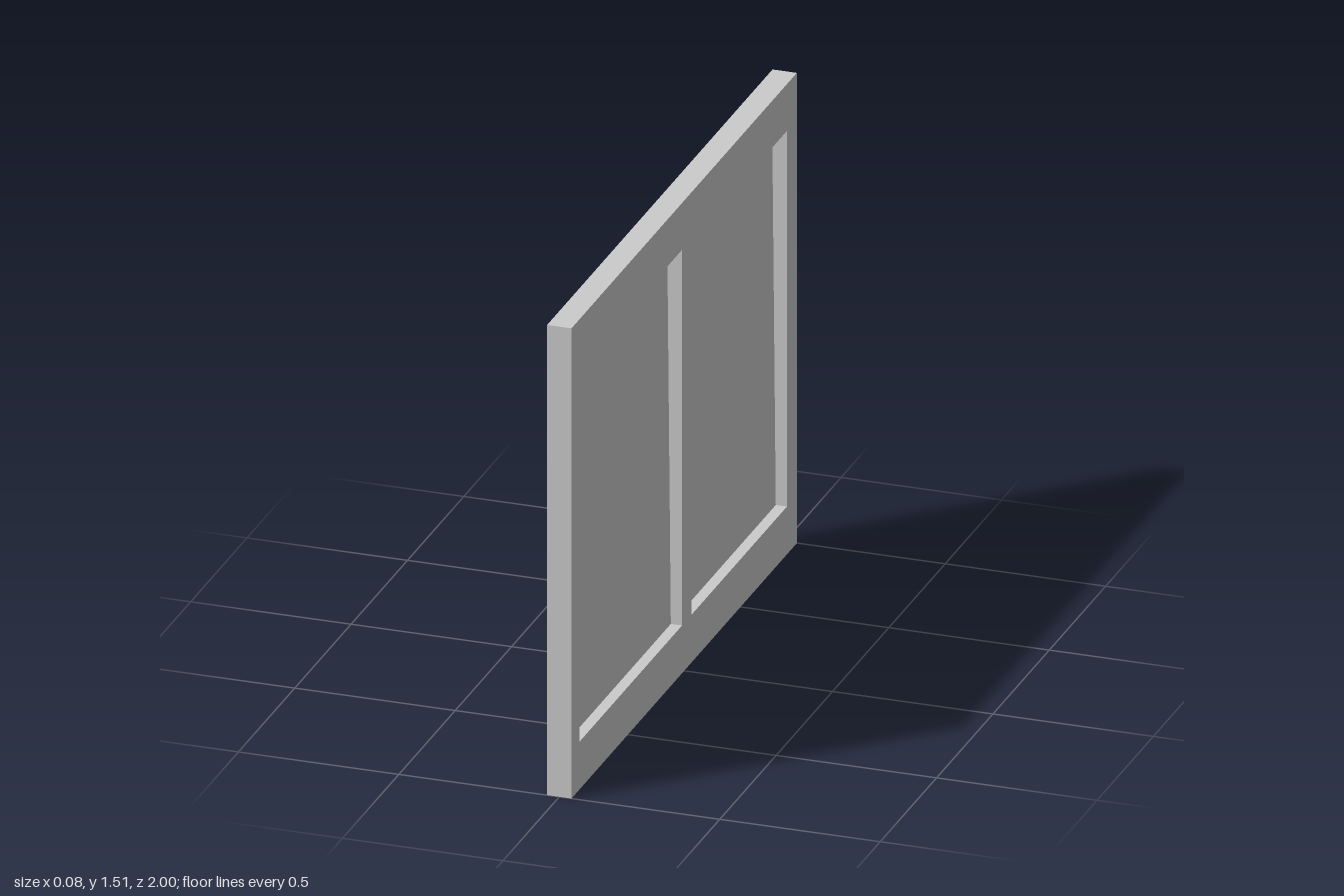
import * as THREE from 'three';

const LENGTH = 2, HEIGHT = 1.507, THICK = 0.076;
const BOTTOM = 0.153, TOP = 1.357;
// Openings along the frame: [start, end], running from +z to -z
const OPENINGS = [[-0.928, -0.019], [0.064, 0.912]];

function rectangle(PathType, x0, x1, y0, y1) {
  const p = new PathType();
  p.moveTo(x0, y0);
  p.lineTo(x1, y0);
  p.lineTo(x1, y1);
  p.lineTo(x0, y1);
  p.closePath();
  return p;
}

export function createModel() {
  const model = new THREE.Group();
  model.name = 'window';
  const material = new THREE.MeshStandardMaterial({ color: 0xcccccc, flatShading: true });
  const paneMaterial = material.clone();
  paneMaterial.side = THREE.DoubleSide;

  // Drawn facing +z, then turned to face +x
  const body = new THREE.Group();
  body.name = 'windowBody';
  body.rotation.y = Math.PI / 2;
  model.add(body);

  // Frame with two openings
  const outline = rectangle(THREE.Shape, -LENGTH / 2, LENGTH / 2, 0, HEIGHT);
  for (const [a, b] of OPENINGS) outline.holes.push(rectangle(THREE.Path, a, b, BOTTOM, TOP));
  const frameGeometry = new THREE.ExtrudeGeometry(outline, { depth: THICK, bevelEnabled: false });
  frameGeometry.translate(0, 0, -THICK / 2);
  const frame = new THREE.Mesh(frameGeometry, material);
  frame.name = 'frame';
  body.add(frame);

  // Thin panes, leaning back slightly inside the frame
  const height = TOP - BOTTOM;
  OPENINGS.forEach(([a, b], i) => {
    const pane = new THREE.Mesh(new THREE.PlaneGeometry(b - a, height), paneMaterial);
    pane.name = i === 0 ? 'frontPane' : 'rearPane';
    pane.position.set((a + b) / 2, (BOTTOM + TOP) / 2, -0.0025);
    pane.rotation.x = -Math.atan(0.011 / height);
    body.add(pane);
  });

  return model;
}
